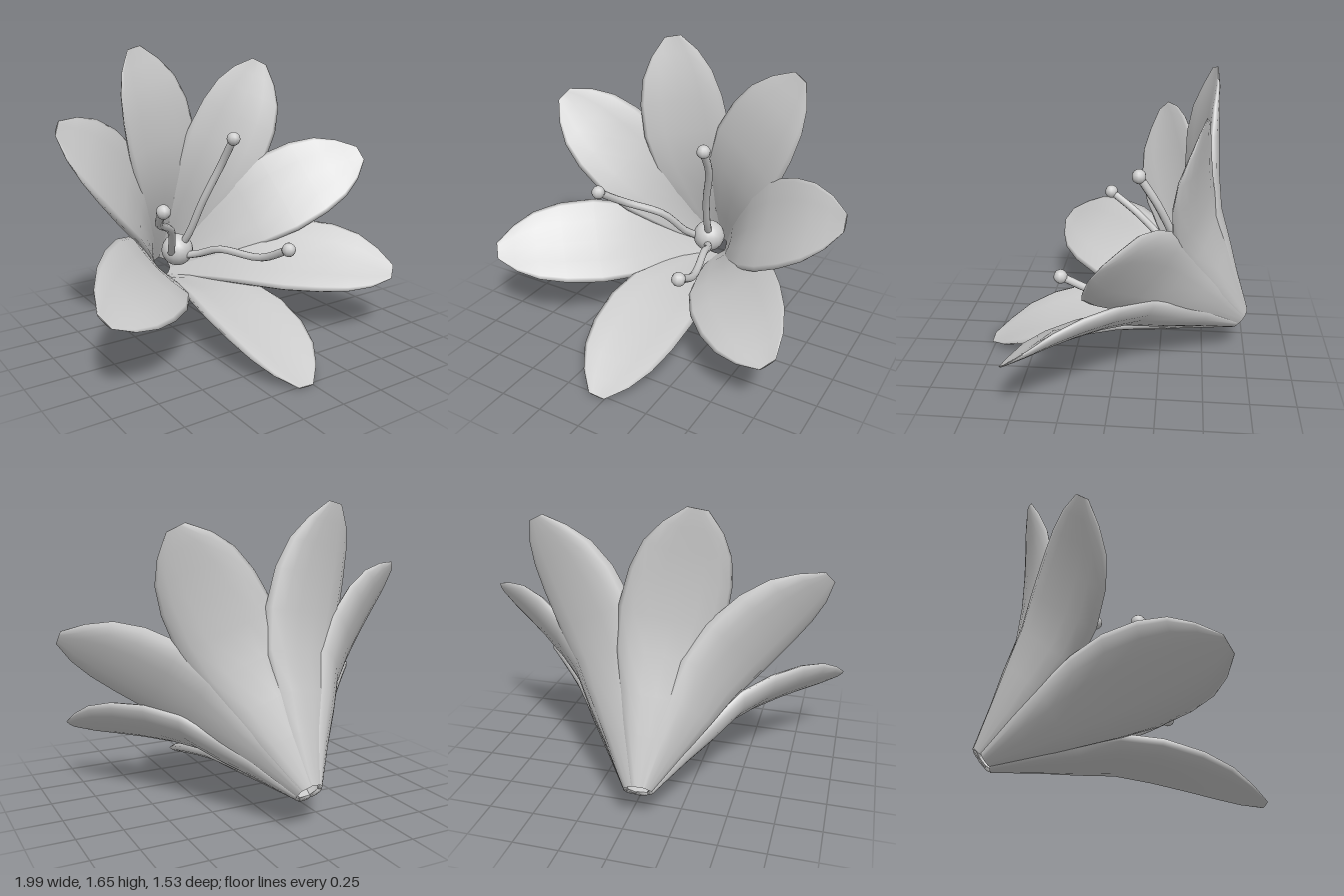
import * as THREE from 'three';

const V = (x, y, z) => new THREE.Vector3(x, y, z);
const BASE = V(-0.07, 0.215, -0.71);            // throat of the flower
const AXIS = V(0.07, 0.65, 0.757).normalize();  // direction the flower opens

// Petal stations: distance along axis, distance from axis, half width, thickness at rim
const STATIONS = [
  [0, 0.08, 0.045, 0.025], [0.205, 0.236, 0.135, 0.08], [0.36, 0.362, 0.19, 0.1],
  [0.521, 0.48, 0.245, 0.1], [0.655, 0.631, 0.27, 0.095], [0.775, 0.797, 0.255, 0.085],
  [0.86, 0.929, 0.215, 0.065], [0.924, 1.037, 0.145, 0.035], [0.98, 1.125, 0.05, 0.008],
];
// Closed petal section (sideways, inward): rounded outside, shallow dish inside
const OUTER = [[0.4, 0.05], [0.72, 0.2], [0.93, 0.55], [1, 0.88]];
const INNER = [[0.9, 1], [0.5, 0.85]];
const flip = ([u, h]) => [-u, h];
const SECTION = [
  ...OUTER.map(flip).reverse(), [0, 0], ...OUTER,
  ...INNER, [0, 0.76], ...INNER.map(flip).reverse(),
];

const PETAL_TIPS = [
  V(-0.05, 0, 0.77), V(-0.99, 0.46, 0.43), V(-0.92, 1.27, -0.22), V(-0.32, 1.64, -0.52),
  V(0.52, 1.53, -0.45), V(0.98, 0.97, 0.01), V(0.81, 0.36, 0.5),
];

// Filament paths, each ending at its anther
const STAMENS = [
  [V(-0.04, 0.4, -0.5), V(-0.02, 0.5, -0.43), V(0.02, 0.72, -0.33), V(0.09, 0.97, -0.22), V(0.105, 1.13, -0.12)],
  [V(-0.12, 0.38, -0.48), V(-0.16, 0.44, -0.4), V(-0.24, 0.6, -0.26), V(-0.41, 0.71, -0.09), V(-0.475, 0.83, 0.085)],
  [V(-0.04, 0.35, -0.47), V(0.02, 0.38, -0.37), V(0.07, 0.44, -0.22), V(0.16, 0.455, 0.08), V(0.19, 0.56, 0.305)],
];

function petalGeometry(tip) {
  const d = tip.clone().sub(BASE);
  const along = d.dot(AXIS);
  const radial = d.addScaledVector(AXIS, -along);
  const end = STATIONS.length - 1;
  const sa = along / STATIONS[end][0], sr = radial.length() / STATIONS[end][1];
  radial.normalize();
  const side = AXIS.clone().cross(radial);
  const spine = STATIONS.map(([a, r]) =>
    BASE.clone().addScaledVector(AXIS, a * sa).addScaledVector(radial, r * sr));

  const pos = [], index = [], n = SECTION.length;
  STATIONS.forEach(([, , width, depth], i) => {
    const tangent = spine[Math.min(i + 1, end)].clone().sub(spine[Math.max(i - 1, 0)]).normalize();
    const inward = tangent.cross(side).normalize();
    SECTION.forEach(([u, h], j) => {
      const p = spine[i].clone().addScaledVector(side, u * width).addScaledVector(inward, h * depth);
      pos.push(p.x, p.y, p.z);
      if (i) {
        const a = (i - 1) * n + j, b = (i - 1) * n + (j + 1) % n;
        index.push(a, b, a + n, b, b + n, a + n);
      }
    });
  });
  // Close both ends
  for (let j = 1; j < n - 1; j++) {
    index.push(0, j + 1, j, end * n, end * n + j, end * n + j + 1);
  }
  const g = new THREE.BufferGeometry();
  g.setAttribute('position', new THREE.Float32BufferAttribute(pos, 3));
  g.setIndex(index);
  g.computeVertexNormals();
  return g;
}

export function createModel() {
  const flower = new THREE.Group();
  flower.name = 'flower';
  const material = new THREE.MeshStandardMaterial({ color: 0xcccccc });
  const add = (parent, name, geometry) => {
    const mesh = new THREE.Mesh(geometry, material);
    mesh.name = name;
    parent.add(mesh);
    return mesh;
  };

  // Ring of thick, dished petals
  PETAL_TIPS.forEach((tip, i) => add(flower, `petal${i + 1}`, petalGeometry(tip)));

  // Round centre sitting in the throat
  add(flower, 'centre', new THREE.SphereGeometry(0.1, 16, 12))
    .position.copy(BASE).addScaledVector(AXIS, 0.25);

  // Bent filaments with round anthers
  STAMENS.forEach((path, i) => {
    const stamen = new THREE.Group();
    stamen.name = `stamen${i + 1}`;
    const curve = new THREE.CatmullRomCurve3(path, false, 'centripetal');
    add(stamen, 'filament', new THREE.TubeGeometry(curve, 14, 0.023, 8));
    add(stamen, 'anther', new THREE.SphereGeometry(0.04, 10, 8)).position.copy(path[path.length - 1]);
    flower.add(stamen);
  });
  return flower;
}
